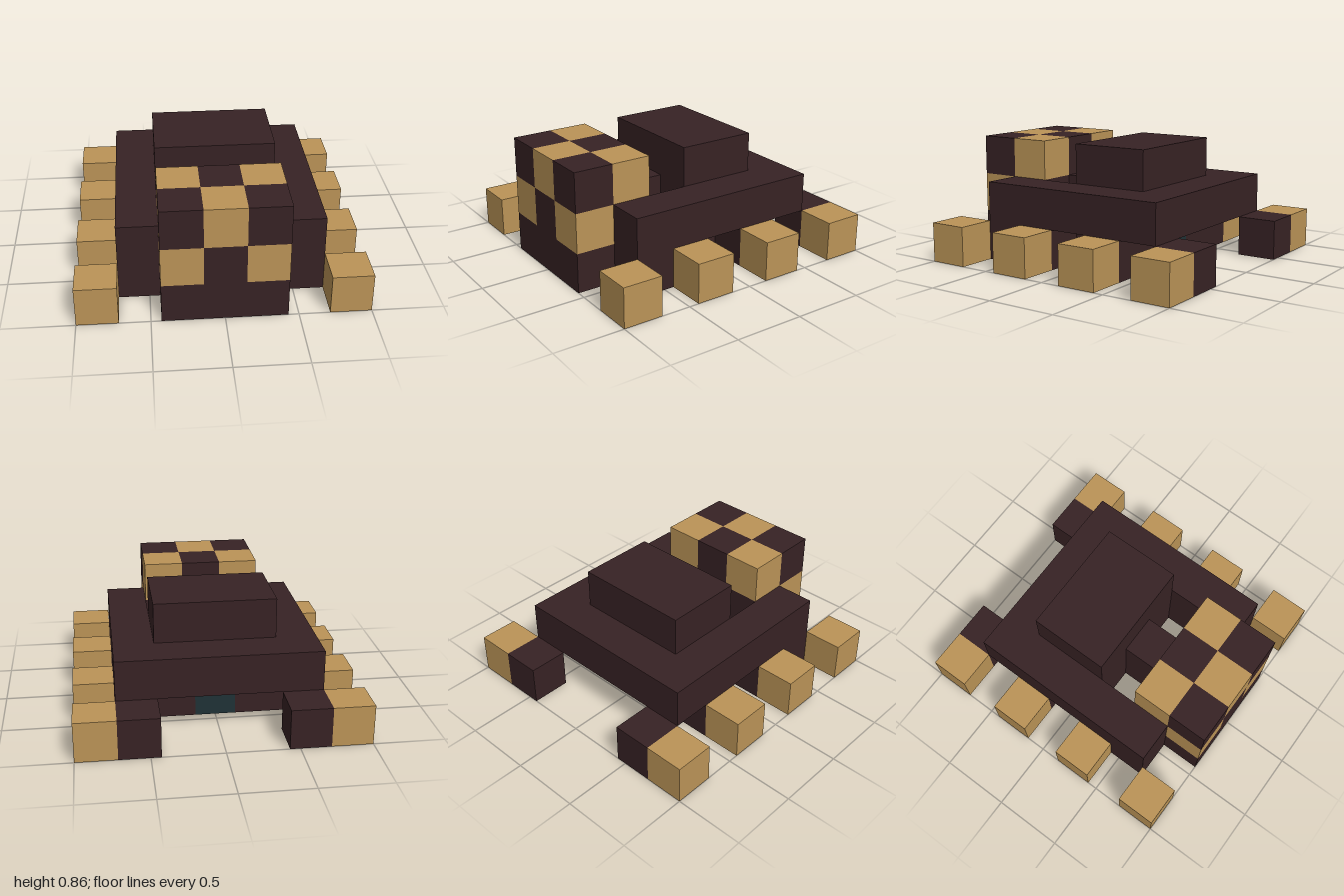
import * as THREE from 'three';

const U = 2 / 7; // edge of one cube

export function createModel() {
  const model = new THREE.Group();
  const material = (name, color) => {
    const m = new THREE.MeshStandardMaterial({ color });
    m.name = name;
    return m;
  };
  const dark = material('darkBrown', 0x372224);
  const tan = material('tan', 0xbb9457);
  const teal = material('darkTeal', 0x203236);

  // Block spanning whole cells: x and z run -3..3, y runs 0..2, ends included
  const block = (name, mat, [x0, x1], [y0, y1], [z0, z1]) => {
    const geometry = new THREE.BoxGeometry((x1 - x0 + 1) * U, (y1 - y0 + 1) * U, (z1 - z0 + 1) * U);
    const mesh = new THREE.Mesh(geometry, mat);
    mesh.name = name;
    mesh.position.set(((x0 + x1) / 2) * U, ((y0 + y1 + 1) / 2) * U, ((z0 + z1) / 2) * U);
    model.add(mesh);
  };
  const cell = (name, mat, x, y, z) => block(name, mat, [x, x], [y, y], [z, z]);

  // Stepped shell
  block('shellTop', dark, [-1, 1], [2, 2], [-1, 0]);
  block('shell', dark, [-2, 2], [1, 1], [-2, 0]);

  // Belly and neck, with two teal cubes set into the underside
  block('bellyMiddle', dark, [-1, 1], [0, 0], [0, 0]);
  block('neck', dark, [0, 0], [0, 1], [1, 1]);
  cell('rearUndersidePatch', teal, 0, 0, -1);
  cell('frontUndersidePatch', teal, 0, 0, 2);

  // Chin and chequered head
  block('chin', dark, [-1, 1], [0, 0], [3, 3]);
  for (const y of [1, 2]) {
    for (const z of [2, 3]) {
      for (const x of [-1, 0, 1]) {
        cell('headCube', (x + y + z) % 2 === 0 ? dark : tan, x, y, z);
      }
    }
  }

  // Mirrored sides
  for (const [side, s] of [['left', 1], ['right', -1]]) {
    cell(side + 'RearBelly', dark, s, 0, -1);
    cell(side + 'Jaw', dark, s, 0, 2);
    const x = 2 * s;
    block(side + 'Shoulder', dark, [x, x], [0, 1], [1, 2]);
    cell(side + 'Hip', dark, x, 0, -1);
    cell(side + 'RearLeg', dark, x, 0, -3);
    for (const z of [-3, -1, 1, 3]) cell(side + 'Foot', tan, 3 * s, 0, z);
  }

  return model;
}
